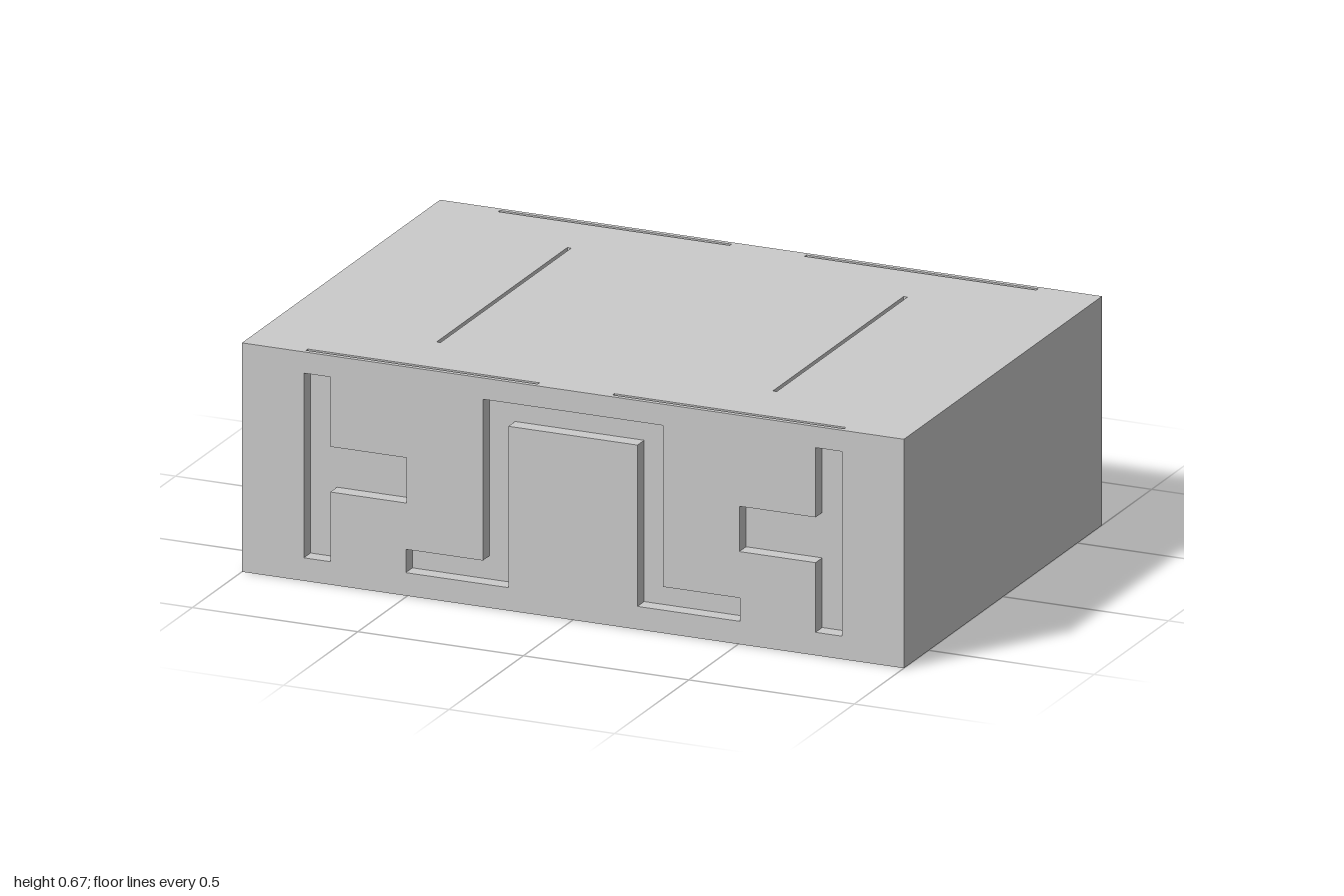
import * as THREE from 'three';
import { mergeGeometries } from 'three/addons/utils/BufferGeometryUtils.js';

const W = 2, H = 0.667, D = 1.333;
const RECESS = 0.045, SLOT = 0.03;

const rect = (x0, y0, x1, y1) => [[x0, y0], [x1, y0], [x1, y1], [x0, y1]];
const mirror = (pts) => pts.map(([x, y]) => [-x, y]).reverse();
const toVectors = (pts) => pts.map(([x, y]) => new THREE.Vector2(x, y));

// Inward-facing walls of a pocket whose outline runs counter-clockwise
function pocketWalls(pts, depth) {
  const pos = [];
  pts.forEach(([ax, ay], i) => {
    const [bx, by] = pts[(i + 1) % pts.length];
    pos.push(ax, ay, 0, bx, by, 0, bx, by, -depth);
    pos.push(ax, ay, 0, bx, by, -depth, ax, ay, -depth);
  });
  const g = new THREE.BufferGeometry();
  g.setAttribute('position', new THREE.Float32BufferAttribute(pos, 3));
  g.computeVertexNormals();
  return g;
}

// Flat panel facing +z with sunken pockets
function panelGeometry(outline, pockets, depth) {
  const face = new THREE.Shape(toVectors(outline));
  const parts = [];
  for (const p of pockets) {
    face.holes.push(new THREE.Path(toVectors(p)));
    const floor = new THREE.ShapeGeometry(new THREE.Shape(toVectors(p)));
    parts.push(floor.translate(0, 0, -depth), pocketWalls(p, depth));
  }
  parts.push(new THREE.ShapeGeometry(face));
  return mergeGeometries(parts.map((g) => {
    const flat = g.index ? g.toNonIndexed() : g;
    flat.deleteAttribute('uv');
    return flat;
  }));
}

export function createModel() {
  const model = new THREE.Group();
  model.name = 'block';
  const material = new THREE.MeshStandardMaterial({ color: 0xcccccc, flatShading: true });

  function addPanel(name, geometry, position, rotation = [0, 0, 0]) {
    const mesh = new THREE.Mesh(geometry, material);
    mesh.name = name;
    mesh.position.set(...position);
    mesh.rotation.set(...rotation);
    model.add(mesh);
  }

  // Front and back: an arch with feet between two sideways T recesses
  const arch = [
    [-0.505, 0.067], [-0.195, 0.067], [-0.195, 0.537], [0.195, 0.537],
    [0.195, 0.067], [0.505, 0.067], [0.505, 0.135], [0.272, 0.135],
    [0.272, 0.605], [-0.272, 0.605], [-0.272, 0.135], [-0.505, 0.135],
  ];
  const tee = [
    [-0.813, 0.067], [-0.733, 0.067], [-0.733, 0.27], [-0.503, 0.27],
    [-0.503, 0.402], [-0.733, 0.402], [-0.733, 0.605], [-0.813, 0.605],
  ];
  const frontGeo = panelGeometry(rect(-W / 2, 0, W / 2, H), [arch, tee, mirror(tee)], RECESS);
  addPanel('frontPanel', frontGeo, [0, 0, D / 2]);
  addPanel('backPanel', frontGeo, [0, 0, -D / 2], [0, Math.PI, 0]);

  // Top: two slots along each long edge and two across the middle
  const slots = [];
  const longSlots = [rect(0.113, 0.64, 0.813, 0.652), rect(0.113, -0.652, 0.813, -0.64)];
  for (const s of [...longSlots, rect(0.502, -0.44, 0.514, 0.44)]) slots.push(s, mirror(s));
  const plan = rect(-W / 2, -D / 2, W / 2, D / 2);
  addPanel('topPanel', panelGeometry(plan, slots, SLOT), [0, H, 0], [-Math.PI / 2, 0, 0]);
  addPanel('bottomPanel', panelGeometry(plan, [], 0), [0, 0, 0], [Math.PI / 2, 0, 0]);

  // Plain ends
  const endGeo = panelGeometry(rect(-D / 2, 0, D / 2, H), [], 0);
  addPanel('leftPanel', endGeo, [W / 2, 0, 0], [0, Math.PI / 2, 0]);
  addPanel('rightPanel', endGeo, [-W / 2, 0, 0], [0, -Math.PI / 2, 0]);

  return model;
}
